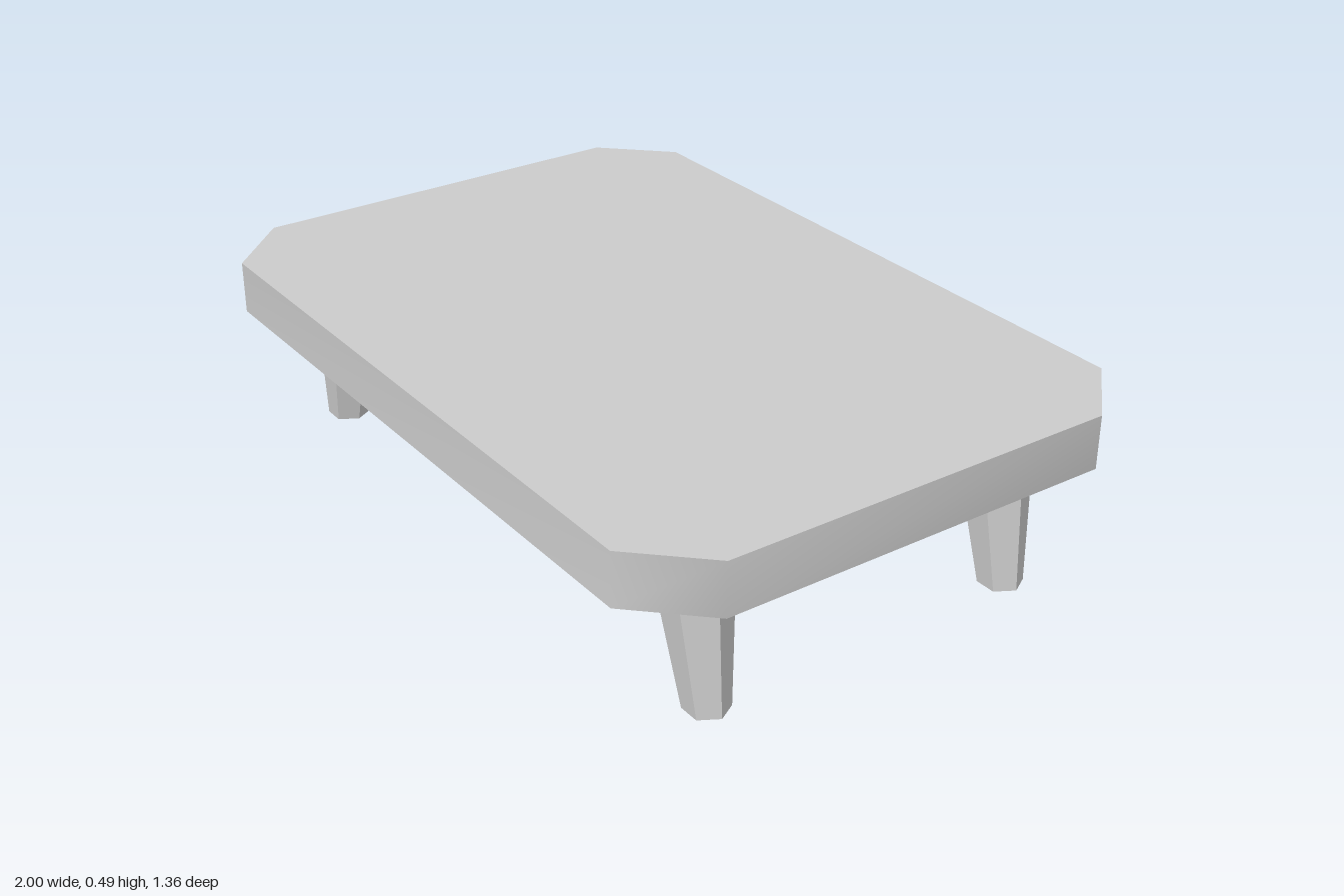
import * as THREE from 'three';

const material = new THREE.MeshStandardMaterial({ color: 0xcccccc });
const flat = new THREE.MeshStandardMaterial({ color: 0xcccccc, flatShading: true });

const X = 1, Z = 0.682, CUT_X = 0.838, CUT_Z = 0.515; // top outline
const BOTTOM = 0.352, TOP = 0.487;

// Corner-cut outline, counter-clockwise in (x, y)
const outline = [
  [X, -CUT_Z], [X, CUT_Z], [CUT_X, Z], [-CUT_X, Z],
  [-X, CUT_Z], [-X, -CUT_Z], [-CUT_X, -Z], [CUT_X, -Z],
].map(([x, y]) => new THREE.Vector2(x, y));

function add(parent, name, geometry, mat) {
  const mesh = new THREE.Mesh(geometry, mat);
  mesh.name = name;
  parent.add(mesh);
  return mesh;
}

// Rim with shared vertices, so shading flows round the cut corners
function rimGeometry() {
  const positions = [], index = [], n = outline.length;
  outline.forEach((p, i) => {
    positions.push(p.x, BOTTOM, -p.y, p.x, TOP, -p.y);
    const a = 2 * i, b = 2 * ((i + 1) % n);
    index.push(a, b, b + 1, a, b + 1, a + 1);
  });
  const geometry = new THREE.BufferGeometry();
  geometry.setAttribute('position', new THREE.Float32BufferAttribute(positions, 3));
  geometry.setIndex(index);
  geometry.computeVertexNormals();
  return geometry;
}

// Six-sided tapered leg, sheared so its foot leans outward
function legGeometry(lean) {
  const geometry = new THREE.CylinderGeometry(0.0925, 0.055, BOTTOM, 6);
  geometry.rotateY(Math.PI / 2);
  geometry.translate(0, BOTTOM / 2, 0);
  const pos = geometry.attributes.position;
  for (let i = 0; i < pos.count; i++) {
    pos.setX(i, pos.getX(i) + lean * (1 - pos.getY(i) / BOTTOM));
  }
  geometry.computeVertexNormals();
  return geometry;
}

export function createModel() {
  const group = new THREE.Group();
  group.name = 'lowTable';

  // Table top
  const tableTop = new THREE.Group();
  tableTop.name = 'tableTop';
  group.add(tableTop);
  const face = new THREE.ShapeGeometry(new THREE.Shape(outline));
  add(tableTop, 'rim', rimGeometry(), material);
  add(tableTop, 'topFace', face.clone().rotateX(-Math.PI / 2).translate(0, TOP, 0), material);
  add(tableTop, 'underside', face.clone().rotateX(Math.PI / 2).translate(0, BOTTOM, 0), material);

  // Legs, set slightly off centre
  for (const [side, x, lean] of [['Left', 0.772, 0.057], ['Right', -0.742, -0.057]]) {
    for (const [end, z] of [['front', 0.432], ['back', -0.425]]) {
      add(group, `${end}${side}Leg`, legGeometry(lean), flat).position.set(x, 0, z);
    }
  }
  return group;
}
